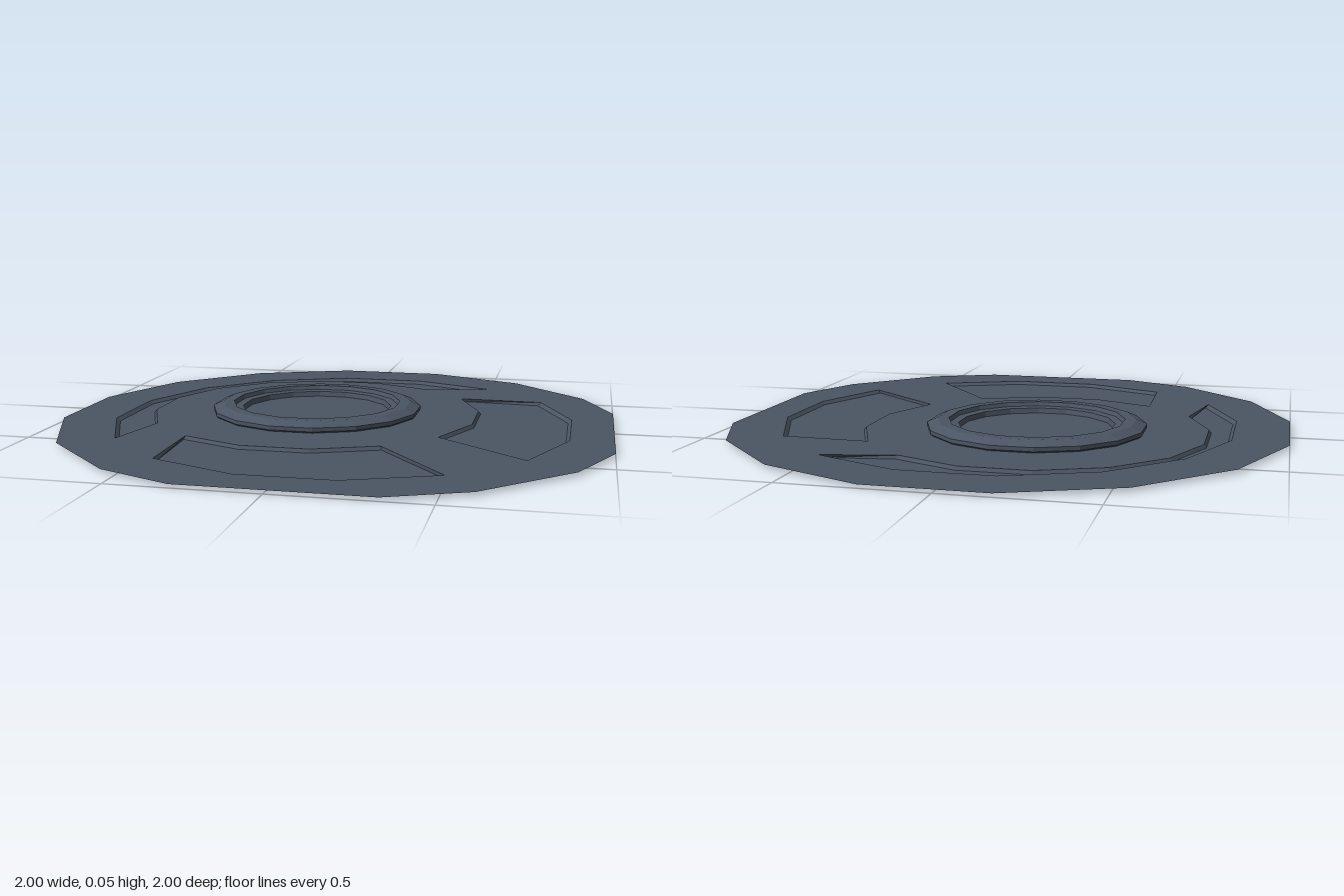
import * as THREE from 'three';

const SIDES = 16;
const SHEET = 0.012; // height of the flat sheet above the groove floor

// Regular 16-sided loop of points, centred on the diagonal x = z
function loop(center, apothem, y) {
  const r = apothem / Math.cos(Math.PI / SIDES);
  return Array.from({ length: SIDES }, (_, k) => {
    const a = ((k + 0.5) / SIDES) * Math.PI * 2;
    return new THREE.Vector3(center + r * Math.cos(a), y, center + r * Math.sin(a));
  });
}

function quad(out, a, a1, b1, b) {
  for (const p of [a, b, a1, a1, b, b1]) out.push(p.x, p.y, p.z);
}

// Skin a row of loops from outside to inside, for the sectors that pass the test
function skin(out, loops, accept = () => true) {
  for (let i = 0; i + 1 < loops.length; i++) {
    for (let k = 0; k < SIDES; k++) {
      const n = (k + 1) % SIDES;
      if (accept(k)) quad(out, loops[i][k], loops[i][n], loops[i + 1][n], loops[i + 1][k]);
    }
  }
}

function makeMesh(name, points, material) {
  const geometry = new THREE.BufferGeometry();
  geometry.setAttribute('position', new THREE.Float32BufferAttribute(points, 3));
  geometry.computeVertexNormals();
  const mesh = new THREE.Mesh(geometry, material);
  mesh.name = name;
  return mesh;
}

export function createModel() {
  const group = new THREE.Group();
  group.name = 'steppedDisc';
  const slate = new THREE.MeshStandardMaterial({
    color: 0x4b5563, flatShading: true, side: THREE.DoubleSide,
  });
  slate.name = 'slate grey';

  // Outer rim, a slightly irregular sixteen-sided outline
  const outline = [
    [1, 0.34], [0.885, 0.6], [0.6, 0.885], [0.34, 1],
    [-0.29, 1], [-0.555, 0.885], [-0.845, 0.6], [-1, 0.225],
    [-1, -0.18], [-0.845, -0.555], [-0.555, -0.845], [-0.18, -1],
    [0.23, -1], [0.6, -0.845], [0.885, -0.56], [1, -0.29],
  ].map(([x, z]) => new THREE.Vector3(x, SHEET, z));
  const grooveOuter = loop(0.022, 0.828, SHEET);
  const plateauEdge = loop(-0.11, 0.608, SHEET);
  const rim = [];
  skin(rim, [outline, grooveOuter]);
  group.add(makeMesh('outerRim', rim, slate));

  // Shallow pockets around the plateau, interrupted by bridges on the diagonals
  const bridges = [1, 5, 13];
  const isBridge = (k) => bridges.includes(k);
  const floorOuter = loop(0.022, 0.815, 0);
  const floorInner = loop(-0.11, 0.616, 0);
  const pockets = [];
  skin(pockets, [grooveOuter, floorOuter, floorInner, plateauEdge], (k) => !isBridge(k));
  const bridgeTops = [];
  skin(bridgeTops, [grooveOuter, plateauEdge], isBridge);
  for (const k of bridges) {
    const n = (k + 1) % SIDES;
    quad(bridgeTops, grooveOuter[k], plateauEdge[k], floorInner[k], floorOuter[k]);
    quad(bridgeTops, plateauEdge[n], grooveOuter[n], floorOuter[n], floorInner[n]);
  }
  group.add(makeMesh('shallowPockets', pockets, slate));
  group.add(makeMesh('bridges', bridgeTops, slate));

  // Flat plateau between the pockets and the raised ring
  const ringBase = loop(-0.11, 0.383, SHEET);
  const plateau = [];
  skin(plateau, [plateauEdge, ringBase]);
  group.add(makeMesh('plateau', plateau, slate));

  // Raised ring, hollow beneath, with a chamfer outside and a step inside
  const profile = [[0.39, 0.018], [0.39, 0.032], [0.352, 0.049], [0.312, 0.049],
    [0.306, 0.034], [0.278, 0.031], [0.274, SHEET]];
  const ringLoops = [ringBase, ...profile.map(([r, y]) => loop(-0.11, r, y))];
  const ring = [];
  skin(ring, ringLoops);
  group.add(makeMesh('raisedRing', ring, slate));

  // Floor inside the ring
  const floor = [];
  skin(floor, [ringLoops[ringLoops.length - 1], loop(-0.11, 0, SHEET)]);
  group.add(makeMesh('innerFloor', floor, slate));

  return group;
}
